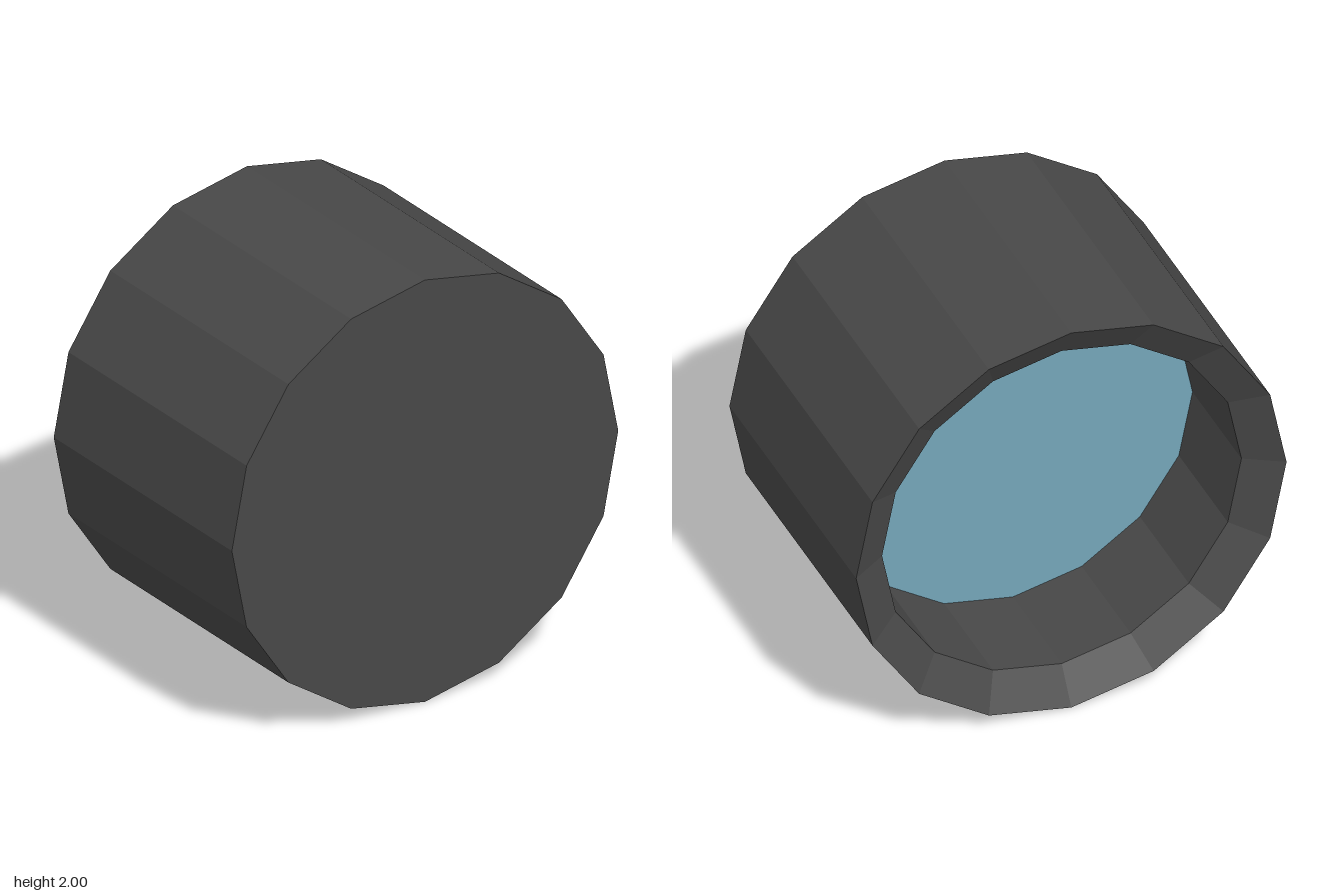
import * as THREE from 'three';

const SIDES = 16;
const FRONT = 0.66, BACK = -0.66, BEVEL = -0.56, LENS = -0.05;
const OUTER = 1, INNER = 0.835;

export function createModel() {
  const group = new THREE.Group();
  group.name = 'lensBarrel';

  const dark = new THREE.MeshStandardMaterial({ color: 0x484848, flatShading: true });
  const blue = new THREE.MeshStandardMaterial({ color: 0x74a5b8, flatShading: true });

  const add = (name, geometry, material, z = 0) => {
    const mesh = new THREE.Mesh(geometry, material);
    mesh.name = name;
    mesh.position.set(0, 1, z);
    group.add(mesh);
  };

  // Faceted wall, bevelled back rim and inner bore, turned about the z axis
  const profile = [[OUTER, FRONT], [OUTER, BACK], [INNER, BEVEL], [INNER, LENS]]
    .map(([r, z]) => new THREE.Vector2(r, -z));
  const shell = new THREE.LatheGeometry(profile, SIDES).rotateX(-Math.PI / 2).toNonIndexed();
  shell.computeVertexNormals();
  add('barrel', shell, dark);

  // Closed front face
  add('frontCap', new THREE.CircleGeometry(OUTER, SIDES), dark, FRONT);

  // Recessed glass, facing the open back
  add('lens', new THREE.CircleGeometry(INNER, SIDES).rotateY(Math.PI), blue, LENS);

  return group;
}
